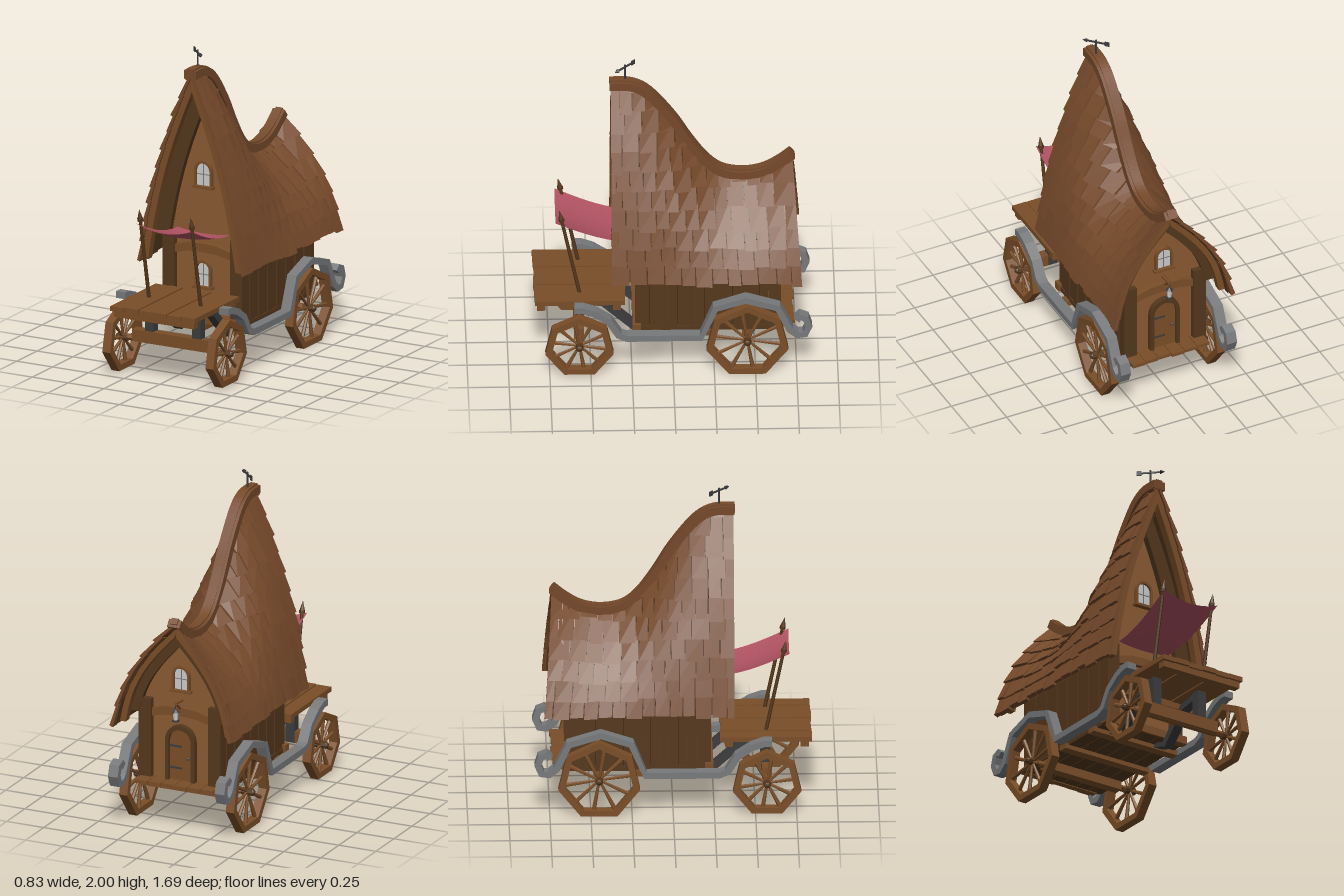
import * as THREE from 'three';
import { mergeGeometries } from 'three/addons/utils/BufferGeometryUtils.js';
import { ParametricGeometry } from 'three/addons/geometries/ParametricGeometry.js';

const WOOD = 0x7a4e28, SHINGLE = 0x75492a, PANEL = 0x8a5a33, DARK = 0x54371c, IRON = 0x77797b, BLACK = 0x3c3c3e, CLOTH = 0xb05262, GLASS = 0xcccccc;
const V2 = (p) => new THREE.Vector2(p[0], p[1]);
const lerp = THREE.MathUtils.lerp;
let seed = 7;
const rand = () => (seed = (seed * 16807) % 2147483647) / 2147483647;

// Ridge line as (z, y), front to back
const ridgeLine = new THREE.SplineCurve([[0.38, 1.9], [0.25, 1.895], [0.14, 1.83], [0, 1.655], [-0.1, 1.49], [-0.2, 1.35],
  [-0.3, 1.27], [-0.43, 1.245], [-0.55, 1.265], [-0.65, 1.32], [-0.73, 1.385]].map(V2)).getPoints(50);
function ridge(z) {
  const i = Math.max(1, ridgeLine.findIndex((p) => p.x <= z));
  const j = z < -0.73 ? 50 : i, a = ridgeLine[j - 1], b = ridgeLine[j];
  return lerp(a.y, b.y, THREE.MathUtils.clamp((z - a.x) / (b.x - a.x), 0, 1)) - 0.045;
}
const EAVE = 0.64;
// Half width of the roof at height y and depth z
function halfWidth(z, y) {
  const back = THREE.MathUtils.clamp((0.37 - z) / 1.1, 0, 1), t = (ridge(z) - y) / (ridge(z) - EAVE);
  return lerp(0.35, 0.385, back) * (t + lerp(0.14, 0.22, back) * Math.sin(Math.PI * Math.min(t, 1)));
}
// Roof outline from the right foot over the apex to the left foot
function gable(z, inset, bottom, maxX = 9) {
  const side = [], n = 24, top = ridge(z);
  for (let i = 0; i <= n; i++) {
    const y = lerp(bottom, top, i / n), x = halfWidth(z, y) - inset;
    if (x <= 0.002) { side.push([0, y]); break; }
    side.push([Math.min(x, maxX), y]);
  }
  return [...side, ...side.slice(0, -1).reverse().map(([x, y]) => [-x, y])];
}
const extrude = (shape, depth) => new THREE.ExtrudeGeometry(shape, { depth, bevelEnabled: false, curveSegments: 8 });
const polygon = (pts) => new THREE.Shape(pts.map(V2));
const box = (w, h, d, x = 0, y = 0, z = 0) => new THREE.BoxGeometry(w, h, d).translate(x, y, z);
// Bar of constant thickness along a (z, y) path, extruded across x
function bar(path, half, width, x = 0) {
  const p = path.map(V2), a = [], b = [];
  p.forEach((q, i) => {
    const d = p[Math.min(i + 1, p.length - 1)].clone().sub(p[Math.max(i - 1, 0)]).normalize();
    a.push([q.x - d.y * half, q.y + d.x * half]);
    b.unshift([q.x + d.y * half, q.y - d.x * half]);
  });
  return extrude(polygon([...a, ...b]), width).rotateY(-Math.PI / 2).translate(x + width / 2, 0, 0);
}
function arch(w, h, S = THREE.Shape) {
  const s = new S();
  s.moveTo(-w, 0); s.lineTo(w, 0); s.lineTo(w, h - w * 1.2);
  s.quadraticCurveTo(w, h - w * 0.1, 0, h);
  s.quadraticCurveTo(-w, h - w * 0.1, -w, h - w * 1.2);
  return s;
}
function rod(a, b, r1, r2 = r1, sides = 6) {
  const A = new THREE.Vector3(...a), d = new THREE.Vector3(...b).sub(A), len = d.length();
  const g = new THREE.CylinderGeometry(r2, r1, len, sides).translate(0, len / 2, 0);
  return g.applyQuaternion(new THREE.Quaternion().setFromUnitVectors(new THREE.Vector3(0, 1, 0), d.normalize())).translate(...a);
}
function add(parent, name, geos, color, side = THREE.FrontSide) {
  const list = [].concat(geos).map((g) => (g.index ? g.toNonIndexed() : g));
  const mesh = new THREE.Mesh(mergeGeometries(list), new THREE.MeshStandardMaterial({ color, side, flatShading: true }));
  mesh.name = name;
  parent.add(mesh);
  return mesh;
}
// Arched opening with frame and sill, facing +z
function archedWindow(parent, name, w, h, y, z, back) {
  const g = new THREE.Group();
  const frame = arch(w + 0.014, h + 0.016);
  frame.holes.push(arch(w, h, THREE.Path));
  add(g, 'windowFrame', [extrude(frame, 0.025), box(w * 2 + 0.05, 0.016, 0.04, 0, -0.006, 0.015)], WOOD);
  add(g, 'windowPane', extrude(arch(w, h), 0.01), GLASS);
  add(g, 'windowBars', [box(0.005, h, 0.006, 0, h / 2, 0.01), box(w * 2, 0.005, 0.006, 0, h * 0.5, 0.01)], IRON);
  g.name = name;
  g.position.set(0, y, z);
  if (back) g.rotation.y = Math.PI;
  parent.add(g);
}
function wheel(parent, name, r, x, y, z) {
  const g = new THREE.Group();
  const ring = (rad, S) => new S(Array.from({ length: 7 }, (_, i) => {
    const a = Math.PI / 2 + (i / 7) * Math.PI * 2;
    return new THREE.Vector2(Math.cos(a) * rad, Math.sin(a) * rad);
  }));
  const rim = ring(r, THREE.Shape);
  rim.holes.push(ring(r - 0.042, THREE.Path));
  add(g, 'rim', extrude(rim, 0.055).translate(0, 0, -0.0275).rotateY(Math.PI / 2), WOOD);
  const spokes = [];
  for (let i = 0; i < 10; i++) {
    const a = (i / 10) * Math.PI * 2 + 0.15, c = Math.cos(a), s = Math.sin(a);
    spokes.push(rod([0, s * 0.02, c * 0.02], [0, s * (r - 0.035), c * (r - 0.035)], 0.008, 0.014));
  }
  add(g, 'spokes', spokes, WOOD);
  add(g, 'hub', [rod([-0.035, 0, 0], [0.035, 0, 0], 0.024, 0.024, 8), new THREE.SphereGeometry(0.02, 8, 6).translate(Math.sign(x) * 0.032, 0, 0)], DARK);
  g.name = name;
  g.position.set(x, y, z);
  parent.add(g);
}

export function createModel() {
  const model = new THREE.Group();
  model.name = 'cottageWagon';

  // Roof shell, shingles and ridge
  const roof = new THREE.Group();
  roof.name = 'roof';
  model.add(roof);
  add(roof, 'roofShell', new ParametricGeometry((u, v, out) => {
    const k = u * 2 - 1, z0 = lerp(0.36, -0.72, v), y = lerp(ridge(z0), EAVE + 0.01, Math.abs(k));
    out.set(Math.sign(k) * Math.max(0, halfWidth(z0, y) - 0.006), y, z0 - 0.04 * v * Math.abs(k));
  }, 32, 32), DARK, THREE.DoubleSide);
  const shingles = [];
  for (const side of [1, -1]) for (let row = 0; row < 11; row++) {
    let s = -rand() * 0.05;
    while (s < 0.99) {
      const next = s + 0.065 + rand() * 0.035, a = Math.max(s, 0), b = next > 0.96 ? 1 : next;
      const drop = (rand() - 0.5) * 0.025, lift = 0.022 + rand() * 0.012;
      s = b;
      const rowY = (z) => EAVE + 0.118 * row * (1 - 0.12 * Math.exp(-(((z + 0.4) / 0.3) ** 2))) + drop;
      if (rowY(lerp(0.37, -0.73, (a + b) / 2)) > ridge(lerp(0.37, -0.73, (a + b) / 2)) - 0.03) continue;
      const g = new THREE.BoxGeometry(1, 1, 1), p = g.attributes.position;
      for (let i = 0; i < p.count; i++) {
        const along = p.getX(i) * side > 0 ? b - 0.003 : a + 0.003, up = p.getY(i) > 0, outer = p.getZ(i) > 0;
        const z = lerp(0.37, -0.73, along), top = ridge(z), y0 = Math.min(rowY(z), top - 0.01);
        const y = up ? Math.min(y0 + 0.15, top) : y0, off = outer ? (up ? 0.012 : lift) : (up ? -0.004 : 0.003);
        const t = (top - y) / (top - EAVE);
        p.setXYZ(i, side * (halfWidth(z, y) + off * 0.92), y + off * 0.35, z - 0.05 * along * t + 0.006 * (1 - 2 * along));
      }
      shingles.push(g);
    }
  }
  add(roof, 'shingles', shingles, SHINGLE);
  const line = ridgeLine.map((p) => [p.x, p.y]);
  add(roof, 'ridgeBeam', [bar(line.map(([z, y]) => [z, y - 0.035]), 0.026, 0.084), bar(line.map(([z, y]) => [z, y - 0.02]), 0.02, 0.045)], SHINGLE);
  const ringBand = (z, i0, i1, bottom, depth) => extrude(polygon([...gable(z, i0, bottom), ...gable(z, i1, bottom).reverse()]), depth).translate(0, 0, z - depth / 2);
  add(roof, 'bargeBoards', [ringBand(0.335, 0.0, 0.045, 0.65, 0.05), ringBand(-0.69, 0.0, 0.045, 0.66, 0.05)], WOOD);
  add(roof, 'gableFrames', [ringBand(0.215, 0.01, 0.105, 0.78, 0.05), ringBand(-0.635, 0.01, 0.09, 0.72, 0.05)], DARK);

  // House body
  const body = new THREE.Group();
  body.name = 'body';
  model.add(body);
  add(body, 'gableWalls', [[0.19, 0.17], [-0.62, -0.62]].map(([z, at]) =>
    extrude(polygon(gable(z, 0.02, EAVE, 0.265)), 0.03).translate(0, 0, at)), PANEL);
  add(body, 'lowerEndWalls', [box(0.53, 0.38, 0.03, 0, 0.47, 0.185), box(0.53, 0.38, 0.03, 0, 0.47, -0.605)], PANEL);
  const planks = [];
  for (const side of [1, -1]) for (let i = 0; i < 15; i++)
    planks.push(box(0.03 + (i % 2) * 0.012, 0.5, 0.053, side * 0.262, 0.53, 0.17 - i * 0.0557));
  add(body, 'sidePlanks', planks, DARK);
  const posts = [], beams = [];
  for (const z of [0.205, -0.63]) {
    for (const x of [0.235, -0.235]) posts.push(box(0.085, 0.52, 0.05, x, 0.55, z));
    const curve = [[-0.19, 0.68], [-0.1, 0.7], [0, 0.705], [0.1, 0.7], [0.19, 0.68], [0.19, 0.73], [0.1, 0.755], [0, 0.76], [-0.1, 0.755], [-0.19, 0.73]];
    beams.push(extrude(polygon(curve), 0.045).translate(0, z < 0 ? 0.02 : 0, z - 0.02));
  }
  add(body, 'cornerPosts', posts, DARK);
  add(body, 'crossBeams', beams, WOOD);
  archedWindow(body, 'upperFrontWindow', 0.047, 0.145, 1.12, 0.2);
  archedWindow(body, 'lowerFrontWindow', 0.042, 0.15, 0.485, 0.2);
  archedWindow(body, 'rearWindow', 0.045, 0.14, 0.89, -0.62, true);

  // Rear door and lantern
  const door = new THREE.Group();
  door.name = 'door';
  const jamb = arch(0.1, 0.36);
  jamb.holes.push(arch(0.075, 0.33, THREE.Path));
  add(door, 'doorFrame', extrude(jamb, 0.035), DARK);
  add(door, 'doorLeaf', extrude(arch(0.075, 0.33), 0.015), WOOD);
  add(door, 'doorFittings', [new THREE.SphereGeometry(0.01, 8, 6).translate(0.05, 0.15, 0.024),
    ...[0.08, 0.22].map((y) => box(0.08, 0.012, 0.008, -0.035, y, 0.016))], BLACK);
  door.position.set(0, 0.305, -0.62);
  door.rotation.y = Math.PI;
  model.add(door);
  add(model, 'lanternBracket', [rod([0, 0.82, -0.62], [0, 0.83, -0.72], 0.012), rod([0, 0.76, -0.63], [0, 0.82, -0.7], 0.008)], WOOD);
  add(model, 'lanternCage', [rod([0, 0.825, -0.71], [0, 0.79, -0.71], 0.003), new THREE.ConeGeometry(0.026, 0.022, 6).translate(0, 0.782, -0.71),
    rod([0, 0.712, -0.71], [0, 0.722, -0.71], 0.022)], BLACK);
  add(model, 'lanternGlass', rod([0, 0.72, -0.71], [0, 0.772, -0.71], 0.013, 0.018), GLASS);

  // Floor, sills and rear porch
  const floor = [];
  for (let i = 0; i < 6; i++) floor.push(box(0.092, 0.03, 0.9 - (i % 2) * 0.02, -0.24 + i * 0.096, 0.275, -0.21));
  add(model, 'floorPlanks', floor, DARK);
  add(model, 'floorSills', [box(0.6, 0.05, 0.05, 0, 0.285, 0.22), ...[0.1, -0.2].map((z) => box(0.62, 0.035, 0.06, 0, 0.25, z))], WOOD);
  const porch = [];
  for (let i = 0; i < 6; i++) porch.push(box(0.084, 0.022, 0.13 + (i % 3) * 0.012, -0.22 + i * 0.088, 0.296, -0.665));
  add(model, 'rearPorch', [...porch, box(0.5, 0.03, 0.04, 0, 0.27, -0.66)], WOOD);

  // Driver platform
  const deck = [];
  for (let i = 0; i < 6; i++) deck.push(box(0.094, 0.03, 0.56 - (i % 3) * 0.006, -0.248 + i * 0.099, 0.463 + (i % 2) * 0.004, 0.565));
  add(model, 'platformPlanks', deck, WOOD);
  add(model, 'platformBeams', [box(0.56, 0.042, 0.05, 0, 0.43, 0.8), box(0.56, 0.042, 0.05, 0, 0.43, 0.34)], WOOD);

  // Iron supports and curled mudguards
  const guardPath = [[0.6, 0.475], [0.55, 0.475], [0.48, 0.45], [0.39, 0.39], [0.33, 0.29], [0.28, 0.27], [-0.17, 0.27], [-0.255, 0.475],
    [-0.44, 0.535], [-0.635, 0.475], [-0.71, 0.315], [-0.755, 0.28], [-0.8, 0.285], [-0.823, 0.34], [-0.805, 0.395], [-0.77, 0.41], [-0.75, 0.385]];
  for (const s of [1, -1]) {
    add(model, s > 0 ? 'leftMudguard' : 'rightMudguard', bar(guardPath, 0.021, 0.066, s * 0.36), IRON);
    add(model, 'ironSupport', [bar([[0.565, 0.45], [0.565, 0.2]], 0.028, 0.06, s * 0.165),
      bar([[0.56, 0.42], [0.42, 0.4], [0.22, 0.215]], 0.022, 0.06, s * 0.165), bar([[0.24, 0.22], [0.12, 0.26]], 0.015, 0.06, s * 0.165)], BLACK);
    wheel(model, 'frontWheel', 0.213, s * 0.36, 0.205, 0.57);
    wheel(model, 'rearWheel', 0.255, s * 0.36, 0.232, -0.45);
    // Canopy pole with spear tip
    add(model, 'canopyPole', [rod([s * 0.18, 0.47, 0.565], [s * 0.18, 1.0, 0.675], 0.012, 0.01), rod([s * 0.18, 0.99, 0.673], [s * 0.18, 1.01, 0.677], 0.018),
      rod([s * 0.18, 1.01, 0.677], [s * 0.18, 1.065, 0.688], 0.016, 0.001)], DARK);
  }
  add(model, 'axles', [box(0.56, 0.075, 0.06, 0, 0.235, 0.57), rod([-0.36, 0.21, 0.57], [0.36, 0.21, 0.57], 0.02),
    box(0.56, 0.06, 0.06, 0, 0.235, -0.45), rod([-0.36, 0.232, -0.45], [0.36, 0.232, -0.45], 0.02)], WOOD);

  // Cloth canopy
  add(model, 'canopy', new ParametricGeometry((u, v, out) => {
    const k = u * 2 - 1;
    out.set(k * 0.198 * (1 - 0.08 * v), 0.985 - 0.15 * Math.sin((v * Math.PI) / 2) - 0.04 * (1 - k * k) * (1 - 0.6 * v), lerp(0.71, 0.21, v));
  }, 10, 8), CLOTH, THREE.DoubleSide);

  // Weathervane
  const vane = new THREE.Group();
  vane.name = 'weathervane';
  add(vane, 'vanePole', rod([0, -0.11, 0], [0, 0.015, 0], 0.006), BLACK);
  add(vane, 'vaneArrow', [box(0.15, 0.009, 0.009), box(0.03, 0.03, 0.006, -0.07, 0, 0),
    new THREE.ConeGeometry(0.015, 0.03, 4).rotateZ(-Math.PI / 2).translate(0.075, 0, 0)], BLACK);
  vane.position.set(0, 1.985, 0.285);
  vane.rotation.y = -Math.PI / 4;
  model.add(vane);
  return model;
}
